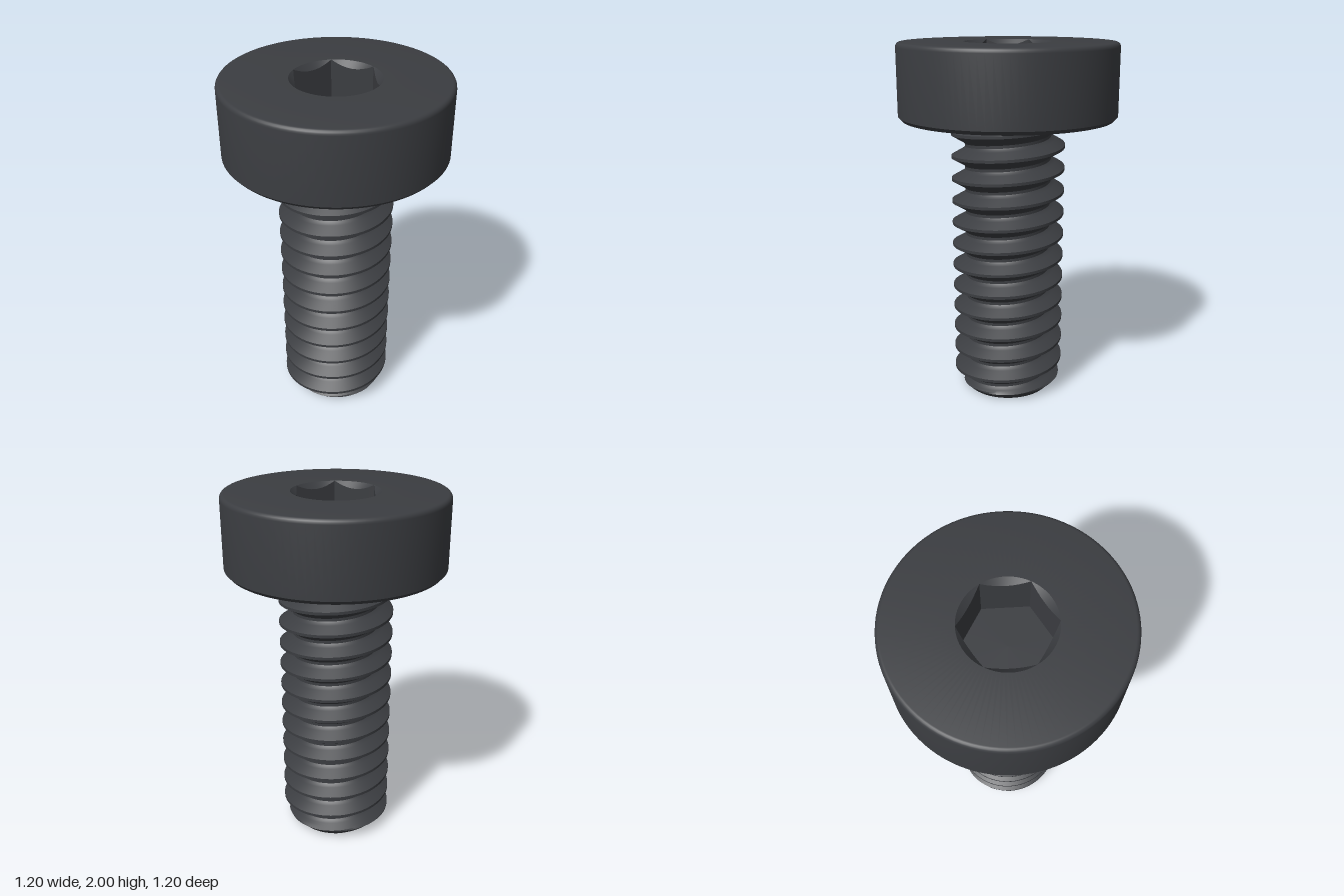
import * as THREE from 'three';
import { toCreasedNormals } from 'three/addons/utils/BufferGeometryUtils.js';

const SEG = 96;
const PITCH = 0.1265, MAJOR = 0.316, MINOR = 0.24;
const HEAD_BOTTOM = 1.59, TOP = 2, SOCKET_R = 0.238, SOCKET_DEPTH = 0.25;

const material = new THREE.MeshStandardMaterial({ color: 0x3b3d41 });

// Smooth normals with sharp edges; scaled up so fine details are not welded together
function crease(geometry, angle = 0.5) {
  geometry.scale(100, 100, 100);
  const result = toCreasedNormals(geometry, angle);
  result.scale(0.01, 0.01, 0.01);
  return result;
}

// Closed surface around y: point(row, theta) gives [radius, height]
function surface(rows, point) {
  const grid = [];
  for (let i = 0; i < rows; i++) {
    const ring = [];
    for (let j = 0; j <= SEG; j++) {
      const t = (j / SEG) * Math.PI * 2;
      const [r, y] = point(i, t);
      const a = j === SEG ? 0 : t;
      ring.push(new THREE.Vector3(r * Math.cos(a), y, -r * Math.sin(a)));
    }
    grid.push(ring);
  }
  const positions = [];
  const triangle = (a, b, c) => {
    if (a.distanceTo(b) < 1e-6 || b.distanceTo(c) < 1e-6 || c.distanceTo(a) < 1e-6) return;
    for (const p of [a, b, c]) positions.push(p.x, p.y, p.z);
  };
  for (let i = 0; i < rows - 1; i++) {
    for (let j = 0; j < SEG; j++) {
      const a = grid[i][j], b = grid[i][j + 1], c = grid[i + 1][j + 1], d = grid[i + 1][j];
      triangle(a, b, c);
      triangle(a, c, d);
    }
  }
  const geometry = new THREE.BufferGeometry();
  geometry.setAttribute('position', new THREE.Float32BufferAttribute(positions, 3));
  return crease(geometry);
}

// Radius of the unthreaded neck, flaring into the head
function neckRadius(y) {
  if (y < 1.515) return 0;
  if (y < 1.55) return THREE.MathUtils.mapLinear(y, 1.515, 1.55, 0.265, 0.308);
  const f = Math.min((y - 1.55) / (HEAD_BOTTOM - 1.55), 1);
  return 0.308 + 0.027 * f * f;
}

// Thread radius at a height, where d is the distance from the nearest crest
function threadRadius(y, d) {
  const flank = MAJOR - Math.max(0, d - PITCH / 16) / Math.tan(Math.PI / 6);
  const r = Math.max(flank, MINOR, neckRadius(y));
  return Math.min(r, 0.245 + y); // end chamfer
}

// Right-hand helical shank with its flat end
function buildShank() {
  const steps = 16, first = -2 * steps;
  const count = Math.ceil((1.6 / PITCH + 3) * steps);
  return surface(count + 1, (i, t) => {
    if (i === 0) return [0, 0];
    const crest = 0.0065 + PITCH * (t / (Math.PI * 2));
    const y = THREE.MathUtils.clamp(crest + ((first + i) * PITCH) / steps, 0, 1.6);
    const turns = (y - crest) / PITCH;
    return [threadRadius(y, Math.abs(turns - Math.round(turns)) * PITCH), y];
  });
}

// Head with a chamfered bottom edge, rounded top edge and an open socket
function buildHead() {
  const profile = [[0.2, HEAD_BOTTOM], [0.582, HEAD_BOTTOM], [0.6, 1.61], [0.6, 1.975]];
  for (let i = 1; i <= 5; i++) {
    const a = (i / 5) * Math.PI / 2;
    profile.push([0.578 + 0.022 * Math.cos(a), 1.975 + 0.025 * Math.sin(a)]);
  }
  profile.push([SOCKET_R, TOP]);
  const points = profile.map(([r, y]) => new THREE.Vector2(r, y));
  return crease(new THREE.LatheGeometry(points, SEG));
}

// Six-sided socket with a conical lead-in
function buildSocket() {
  return surface(4, (i, t) => {
    const sector = Math.PI / 3;
    const hex = (SOCKET_R * Math.cos(sector / 2)) / Math.cos((t % sector) - sector / 2);
    return [
      [SOCKET_R, TOP],
      [hex, TOP - (SOCKET_R - hex)],
      [hex, TOP - SOCKET_DEPTH],
      [0, TOP - SOCKET_DEPTH],
    ][i];
  });
}

export function createModel() {
  const group = new THREE.Group();
  group.name = 'socketScrew';
  const parts = { head: buildHead(), hexSocket: buildSocket(), threadedShank: buildShank() };
  for (const [name, geometry] of Object.entries(parts)) {
    const mesh = new THREE.Mesh(geometry, material);
    mesh.name = name;
    group.add(mesh);
  }
  return group;
}
